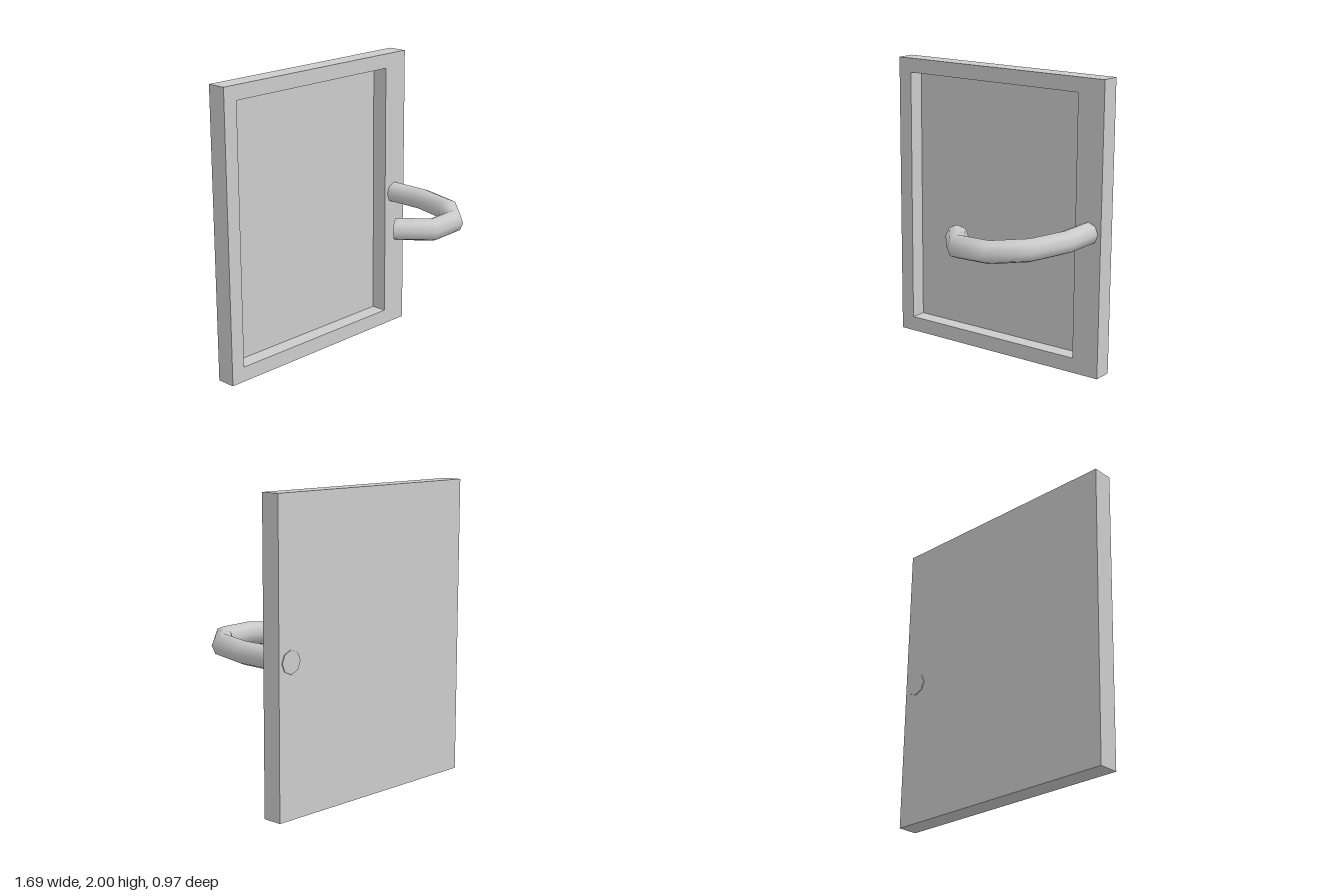
import * as THREE from 'three';

const material = () => new THREE.MeshStandardMaterial({ color: 0xcccccc });

// Frame rectangle with a rectangular opening, extruded forward
function buildFrame(depth) {
  const shape = new THREE.Shape();
  shape.moveTo(-0.845, 0).lineTo(0.842, 0).lineTo(0.842, 2).lineTo(-0.845, 2).closePath();
  const hole = new THREE.Path();
  hole.moveTo(-0.742, 0.104).lineTo(-0.742, 1.9).lineTo(0.645, 1.9).lineTo(0.645, 0.104).closePath();
  shape.holes.push(hole);
  return new THREE.ExtrudeGeometry(shape, { depth, bevelEnabled: false });
}

// Bent bar: octagonal rings given as [x, z, outward angle in degrees], with flat caps
function buildBar(rings, y, radius, sides = 8) {
  const pos = [], index = [];
  const addRing = ([x, z, deg]) => {
    const start = pos.length / 3, phi = THREE.MathUtils.degToRad(deg);
    for (let j = 0; j < sides; j++) {
      const a = (j / sides) * Math.PI * 2;
      const out = radius * Math.cos(a);
      pos.push(x + out * Math.cos(phi), y + radius * Math.sin(a), z + out * Math.sin(phi));
    }
    return start;
  };
  const starts = rings.map(addRing);
  for (let i = 0; i < rings.length - 1; i++) {
    for (let j = 0; j < sides; j++) {
      const k = (j + 1) % sides;
      const a = starts[i] + j, b = starts[i] + k, c = starts[i + 1] + j, d = starts[i + 1] + k;
      index.push(a, b, c, b, d, c);
    }
  }
  // End caps with their own vertices so the rims stay sharp
  const first = addRing(rings[0]);
  const last = addRing(rings[rings.length - 1]);
  for (let j = 1; j < sides - 1; j++) {
    index.push(first, first + j + 1, first + j);
    index.push(last, last + j, last + j + 1);
  }
  const geometry = new THREE.BufferGeometry();
  geometry.setAttribute('position', new THREE.Float32BufferAttribute(pos, 3));
  geometry.setIndex(index);
  geometry.computeVertexNormals();
  return geometry;
}

export function createModel() {
  const group = new THREE.Group();
  const back = -0.481, front = -0.346, board = 0.022;
  const add = (name, geometry) => {
    const mesh = new THREE.Mesh(geometry, material());
    mesh.name = name;
    group.add(mesh);
    return mesh;
  };

  // Door: thin back board with a raised border around the recess
  add('backBoard', new THREE.BoxGeometry(1.687, 2, board)).position.set(-0.0015, 1, back + board / 2);
  add('doorFrame', buildFrame(front - back - board)).position.z = back + board;

  // Hooked handle passing through the border
  add('handle', buildBar([
    [0.744, -0.487, 0],
    [0.744, -0.076, 0],
    [0.67, 0.208, 30],
    [0.499, 0.395, 80],
    [0.26, 0.412, 109],
    [0.112, 0.223, 151],
  ], 0.987, 0.076));

  return group;
}
